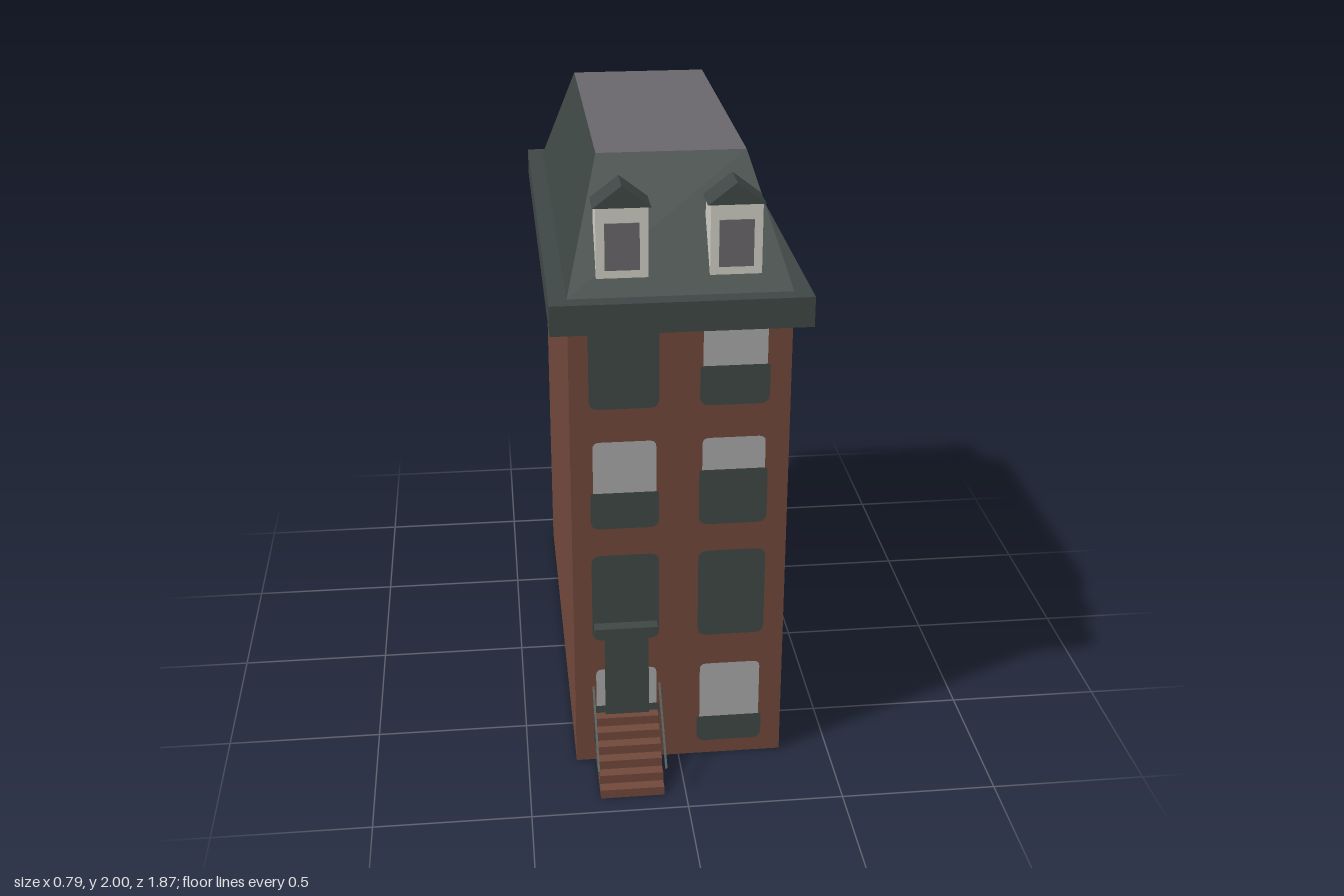
import * as THREE from 'three';

const mat = (name, color, side = THREE.FrontSide) => {
  const m = new THREE.MeshStandardMaterial({ color, side });
  m.name = name;
  return m;
};
const brick = mat('brick', 0x72483b, THREE.DoubleSide);
const slate = mat('slate', 0x3e4745, THREE.DoubleSide);
const grey = mat('flat roof grey', 0x69676b, THREE.DoubleSide);
const blind = mat('window blind', 0xa8a8a8, THREE.DoubleSide);
const frame = mat('dormer frame', 0xcfcfc5);

function add(parent, name, geometry, material) {
  const m = new THREE.Mesh(geometry, material);
  m.name = name;
  parent.add(m);
  return m;
}

// box given by its minimum and maximum on each axis
function box(parent, name, [x0, x1], [y0, y1], [z0, z1], material) {
  const m = add(parent, name, new THREE.BoxGeometry(x1 - x0, y1 - y0, z1 - z0), material);
  m.position.set((x0 + x1) / 2, (y0 + y1) / 2, (z0 + z1) / 2);
  return m;
}

// flat pane with separately rounded top and bottom corners
function pane(x0, x1, y0, y1, rTop, rBottom) {
  const s = new THREE.Shape();
  s.moveTo(x0 + rBottom, y0);
  s.lineTo(x1 - rBottom, y0);
  s.quadraticCurveTo(x1, y0, x1, y0 + rBottom);
  s.lineTo(x1, y1 - rTop);
  s.quadraticCurveTo(x1, y1, x1 - rTop, y1);
  s.lineTo(x0 + rTop, y1);
  s.quadraticCurveTo(x0, y1, x0, y1 - rTop);
  s.lineTo(x0, y0 + rBottom);
  s.quadraticCurveTo(x0, y0, x0 + rBottom, y0);
  return new THREE.ShapeGeometry(s, 4);
}

// [x0, x1, bottom, top, lower edge of the blind]
const WINDOWS = [
  [-0.28, -0.065, 0.05, 0.35, 0.21],
  [0.06, 0.275, 0.05, 0.35, 0.145],
  [-0.28, -0.065, 0.46, 0.77, null],
  [0.06, 0.275, 0.46, 0.77, null],
  [-0.28, -0.065, 0.865, 1.165, 0.99],
  [0.06, 0.275, 0.865, 1.165, 1.055],
  [-0.28, -0.065, 1.275, 1.54, null],
  [0.06, 0.275, 1.275, 1.54, 1.405],
];

// window grid seen from both faces of a wall lying at z = 0
function windowWall() {
  const g = new THREE.Group();
  for (const [x0, x1, y0, y1, split] of WINDOWS) {
    const rTop = y1 > 1.5 ? 0 : 0.03;
    for (const z of [0.002, -0.002]) {
      if (split === null) {
        add(g, 'darkWindow', pane(x0, x1, y0, y1, rTop, 0.03), slate).position.z = z;
      } else {
        add(g, 'windowLowerPane', pane(x0, x1, y0, split, 0.008, 0.03), slate).position.z = z;
        add(g, 'windowBlind', pane(x0 + 0.009, x1 - 0.009, split, y1, rTop * 0.7, 0), blind).position.z = z;
      }
    }
  }
  return g;
}

function walls(parent) {
  const m = box(parent, 'brickWalls', [-0.34, 0.34], [0, 1.54], [-0.875, 0.715], brick);
  // leave out top and bottom: the shell is open underneath
  const index = Array.from(m.geometry.index.array).filter((_, i) => i < 12 || i >= 24);
  m.geometry.setIndex(index);
  m.geometry.clearGroups();
  const front = windowWall();
  front.name = 'frontWindows';
  front.position.z = 0.715;
  const back = windowWall();
  back.name = 'backWindows';
  back.rotation.y = Math.PI;
  back.position.z = -0.875;
  parent.add(front, back);
}

// mansard: a box whose top is pulled in, with a grey flat top
function mansard(parent) {
  const m = box(parent, 'mansardRoof', [-0.34, 0.34], [1.635, 2], [-0.875, 0.715],
    [slate, slate, grey, slate, slate, slate]);
  const p = m.geometry.attributes.position;
  for (let i = 0; i < p.count; i++) {
    if (p.getY(i) < 0) continue;
    p.setX(i, Math.sign(p.getX(i)) * 0.23);
    p.setZ(i, Math.sign(p.getZ(i)) * 0.53 - 0.005);
  }
  m.geometry.computeVertexNormals();
}

function dormer(x) {
  const g = new THREE.Group();
  g.name = 'dormer';
  box(g, 'dormerBody', [-0.078, 0.078], [1.685, 1.9], [0.57, 0.685], frame);
  box(g, 'dormerWindow', [-0.052, 0.052], [1.71, 1.855], [0.682, 0.689], grey);
  const gable = new THREE.Shape([
    new THREE.Vector2(-0.087, 1.9), new THREE.Vector2(0.087, 1.9), new THREE.Vector2(0, 1.967),
  ]);
  add(g, 'dormerRoof', new THREE.ExtrudeGeometry(gable, { depth: 0.115, bevelEnabled: false }), slate)
    .position.z = 0.57;
  g.position.x = x;
  return g;
}

// hollow flight of six steps
function stairs() {
  const g = new THREE.Group();
  g.name = 'frontStairs';
  const n = 6, rise = 0.183 / n, run = 0.215 / n, width = 0.205, mid = -0.1725;
  const side = new THREE.Shape();
  side.moveTo(0, 0);
  for (let i = 0; i < n; i++) {
    const z = 0.93 - i * run, y = (i + 1) * rise;
    add(g, 'riser', new THREE.PlaneGeometry(width, rise), brick).position.set(mid, y - rise / 2, z);
    const tread = add(g, 'tread', new THREE.PlaneGeometry(width, run), brick);
    tread.rotation.x = -Math.PI / 2;
    tread.position.set(mid, y, z - run / 2);
    side.lineTo(i * run, y - rise);
    side.lineTo(i * run, y);
  }
  side.lineTo(n * run, n * rise);
  side.lineTo(n * run, 0);
  for (const s of [-1, 1]) {
    const cheek = add(g, 'stairSide', new THREE.ShapeGeometry(side), brick);
    cheek.rotation.y = Math.PI / 2;
    cheek.position.set(mid + s * width / 2, 0, 0.93);
    // sloping handrail
    const rail = add(g, 'handrail', new THREE.BoxGeometry(0.007, 0.009, 0.284), slate);
    rail.position.set(mid + s * 0.108, 0.194, 0.825);
    rail.rotation.x = Math.atan2(0.18, 0.22);
  }
  return g;
}

export function createModel() {
  const house = new THREE.Group();
  house.name = 'townhouse';
  walls(house);
  box(house, 'cornice', [-0.395, 0.395], [1.54, 1.635], [-0.93, 0.77], slate);
  mansard(house);
  house.add(dormer(-0.172), dormer(0.168));
  // entrance
  box(house, 'frontDoor', [-0.242, -0.1], [0.183, 0.495], [0.715, 0.728], slate);
  box(house, 'doorLintel', [-0.275, -0.073], [0.493, 0.524], [0.715, 0.757], slate);
  house.add(stairs());
  return house;
}
